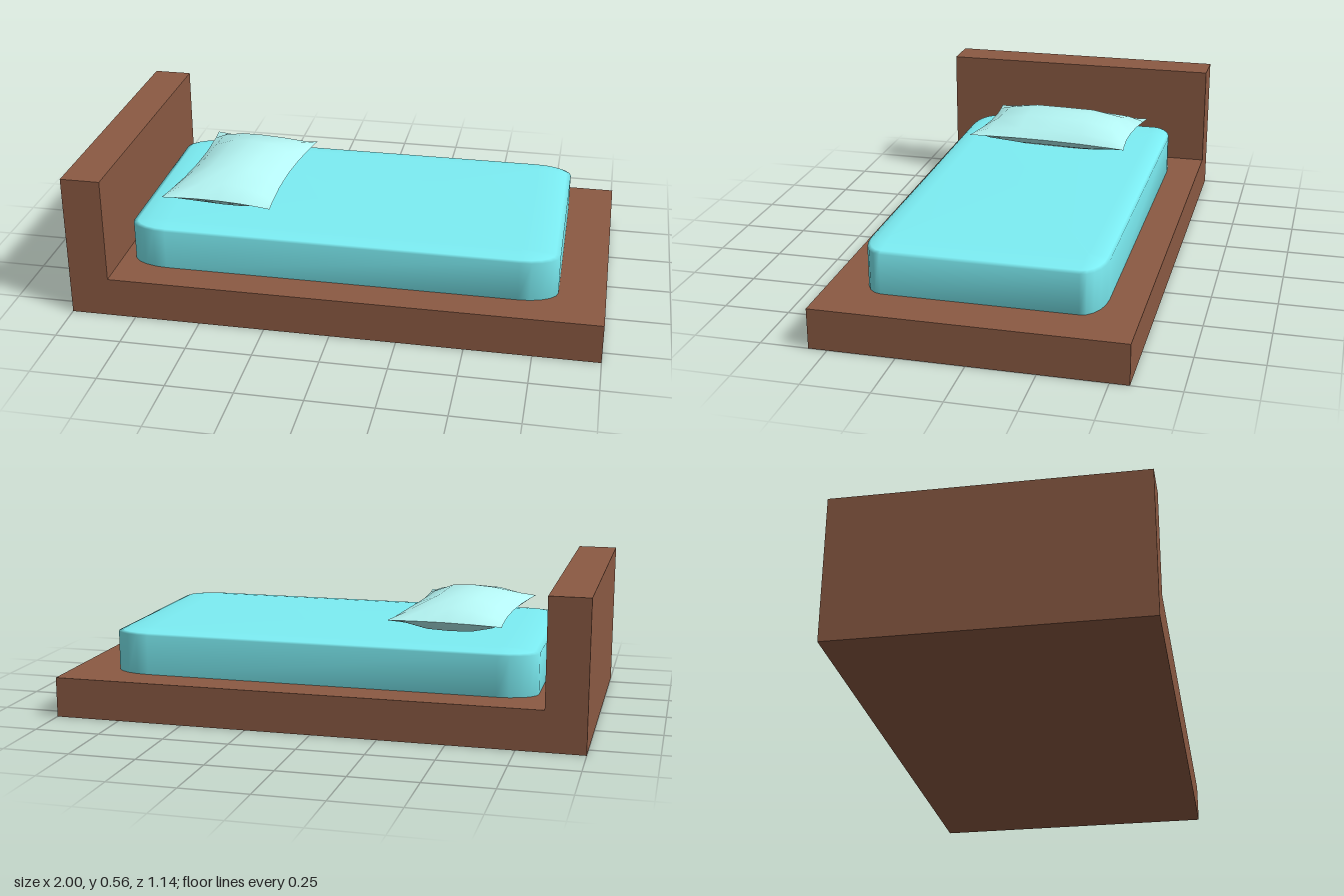
import * as THREE from 'three';

const material = (color) => new THREE.MeshStandardMaterial({ color });

function addMesh(group, name, geometry, color) {
  const mesh = new THREE.Mesh(geometry, material(color));
  mesh.name = name;
  group.add(mesh);
  return mesh;
}

function indexedGeometry(positions, index) {
  const geometry = new THREE.BufferGeometry();
  geometry.setAttribute('position', new THREE.Float32BufferAttribute(positions, 3));
  geometry.setIndex(index);
  geometry.computeVertexNormals();
  return geometry;
}

// Bed frame: one L-shaped profile (base and headboard) extruded across the width
function frameGeometry() {
  const profile = [[-1, 0], [1, 0], [1, 0.153], [-0.85, 0.153], [-0.85, 0.557], [-1, 0.557]];
  const shape = new THREE.Shape(profile.map(([x, y]) => new THREE.Vector2(x, y)));
  const geometry = new THREE.ExtrudeGeometry(shape, { depth: 1.14, bevelEnabled: false });
  return geometry.translate(0, 0, -0.57);
}

// Mattress: stacked rounded rectangles with wide, shallow edges and smooth normals
function mattressGeometry() {
  const halfX = 0.815, halfZ = 0.438, radiusX = 0.145, radiusZ = 0.08;
  const rings = [[0.135, 1], [0.139, 0.4], [0.152, 0], [0.305, 0], [0.312, 0.13], [0.318, 0.45], [0.322, 0.95]];
  const steps = 5, count = 4 * (steps + 1);
  const positions = [], index = [];
  for (const [y, inset] of rings) {
    for (let corner = 0; corner < 4; corner++) {
      const signX = corner === 0 || corner === 3 ? 1 : -1;
      const signZ = corner < 2 ? 1 : -1;
      for (let s = 0; s <= steps; s++) {
        const a = (corner + s / steps) * Math.PI / 2;
        const r = 1 - inset;
        positions.push(
          signX * (halfX - radiusX) + Math.cos(a) * radiusX * r,
          y,
          signZ * (halfZ - radiusZ) + Math.sin(a) * radiusZ * r
        );
      }
    }
  }
  for (let i = 0; i < rings.length - 1; i++) {
    for (let j = 0; j < count; j++) {
      const k = (j + 1) % count;
      const a = i * count + j, b = i * count + k;
      index.push(a, a + count, b, b, a + count, b + count);
    }
  }
  // Flat caps
  const bottom = positions.length / 3, top = bottom + 1;
  positions.push(0, rings[0][0], 0, 0, rings[rings.length - 1][0], 0);
  const last = (rings.length - 1) * count;
  for (let j = 0; j < count; j++) {
    const k = (j + 1) % count;
    index.push(bottom, j, k, top, last + k, last + j);
  }
  return indexedGeometry(positions, index);
}

// Pillow: two bulged grids with pinched sides meeting at a sharp seam
function pillowGeometry() {
  const nodes = [-1, -0.8, -0.4, 0, 0.4, 0.8, 1], n = nodes.length;
  const positions = [], index = [];
  for (const side of [1, -1]) {
    const start = positions.length / 3;
    for (const v of nodes) {
      for (const u of nodes) {
        const bulge = (1 - Math.abs(u) ** 2.8) * (1 - Math.abs(v) ** 4.5);
        positions.push(
          u * (0.217 - 0.025 * (1 - v * v)),
          side * 0.069 * bulge,
          v * (0.331 - 0.022 * (1 - u * u))
        );
      }
    }
    for (let i = 0; i < n - 1; i++) {
      for (let j = 0; j < n - 1; j++) {
        const a = start + i * n + j, b = a + 1, c = a + n, d = c + 1;
        if (side > 0) index.push(a, c, b, b, c, d);
        else index.push(a, b, c, b, d, c);
      }
    }
  }
  return indexedGeometry(positions, index);
}

export function createModel() {
  const model = new THREE.Group();
  model.name = 'bed';

  addMesh(model, 'bedFrame', frameGeometry(), 0x8b5a43);

  const mattress = addMesh(model, 'mattress', mattressGeometry(), 0x7ceef4);
  mattress.position.x = 0.01;

  const pillow = addMesh(model, 'pillow', pillowGeometry(), 0xb4f5f3);
  pillow.position.set(-0.467, 0.389, -0.002);
  pillow.rotation.y = -0.065;

  return model;
}
